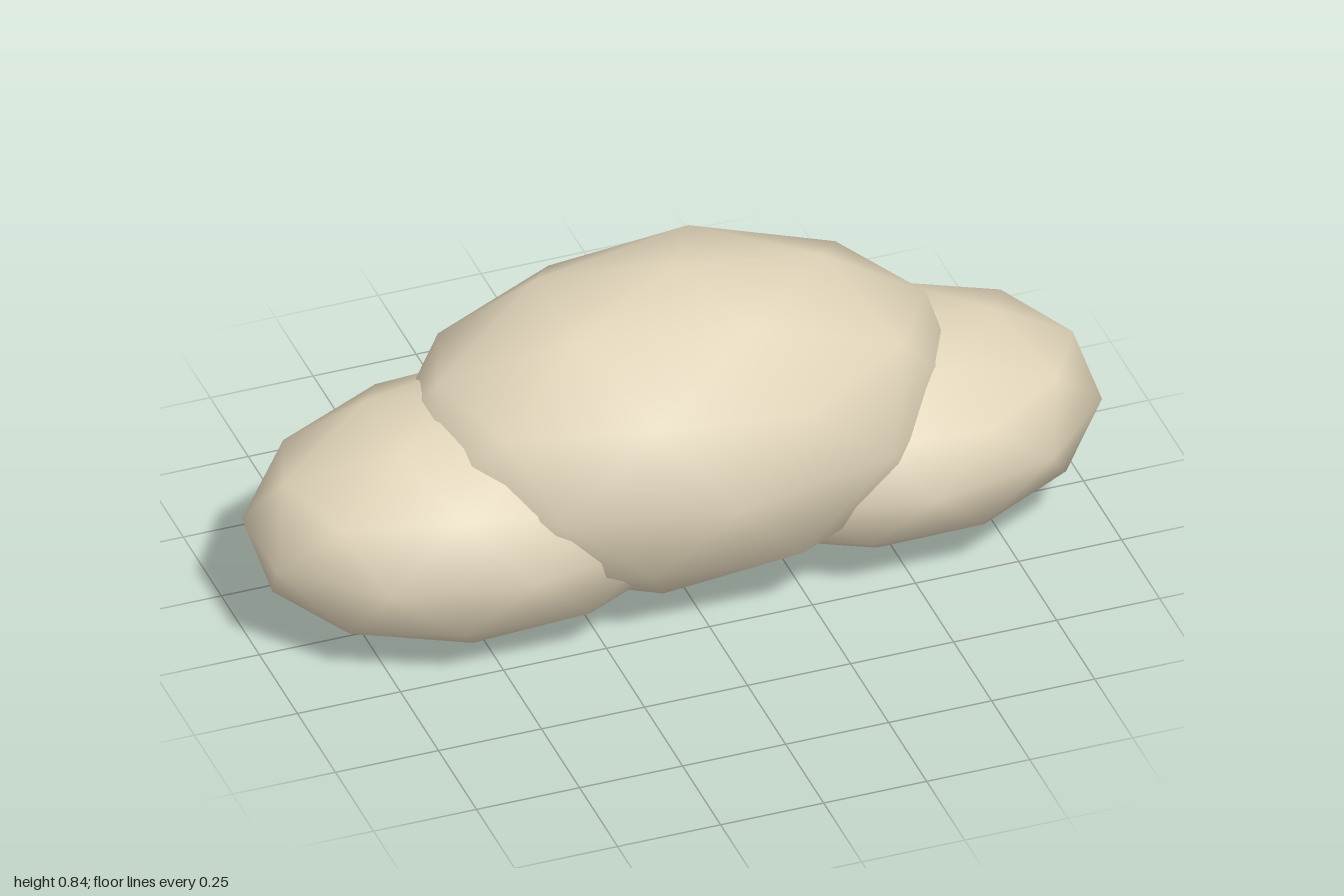
import * as THREE from 'three';
import { mergeVertices } from 'three/addons/utils/BufferGeometryUtils.js';

// Smooth low-poly ball with a vertex at each pole and an upper-ring vertex on +x
function puffGeometry(rx, ry, rz) {
  const ball = new THREE.IcosahedronGeometry(1, 1);
  ball.deleteAttribute('uv');
  ball.deleteAttribute('normal');
  ball.rotateX(-Math.atan2(1 + Math.sqrt(5), 2));
  ball.rotateY(Math.PI / 2);
  ball.scale(rx, ry, rz);
  const geometry = mergeVertices(ball, 1e-4);
  geometry.computeVertexNormals();
  return geometry;
}

export function createModel() {
  const group = new THREE.Group();
  group.name = 'cloud';
  const cream = new THREE.MeshStandardMaterial({ color: 0xe0d4b9 });
  cream.name = 'cream';

  // Three overlapping puffs: name, radii, centre
  const puffs = [
    ['middlePuff', [0.68, 0.402, 0.436], [0.01, 0.44, 0]],
    ['leftPuff', [0.515, 0.268, 0.37], [0.513, 0.304, 0]],
    ['rightPuff', [0.57, 0.302, 0.37], [-0.458, 0.305, 0]],
  ];
  for (const [name, radii, centre] of puffs) {
    const puff = new THREE.Mesh(puffGeometry(...radii), cream);
    puff.name = name;
    puff.position.set(...centre);
    group.add(puff);
  }
  return group;
}
